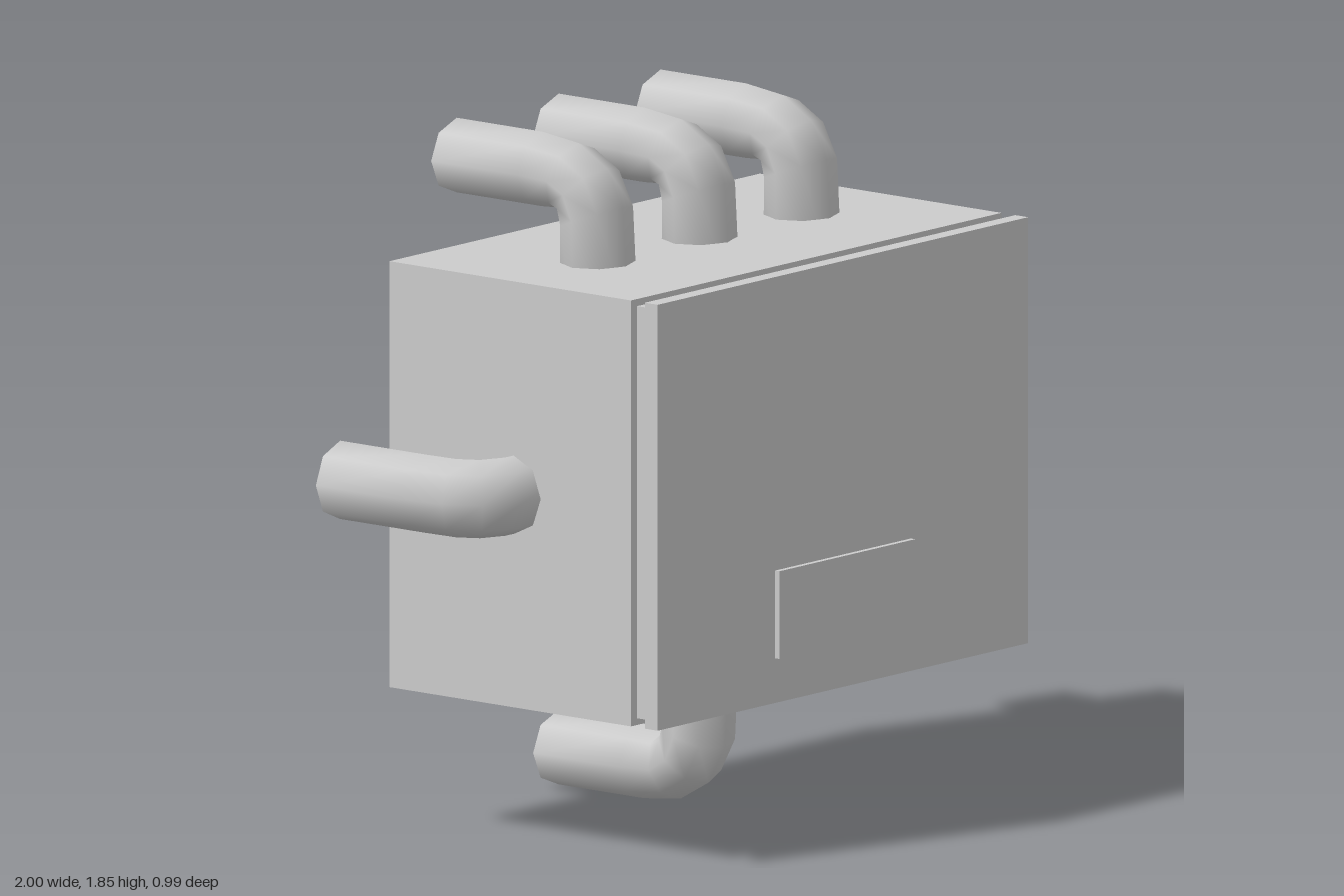
import * as THREE from 'three';

const SIDES = 8, PIPE_RADIUS = 0.105;

// Bend profile as [outer z, outer y, inner z, inner y]; y = 0 is the pipe's outermost point
const BEND = [
  [0.095, -0.46, -0.11, -0.46],
  [0.075, -0.17, -0.103, -0.235],
  [0.02, -0.07, -0.107, -0.2],
  [-0.075, -0.015, -0.125, -0.195],
  [-0.2, 0, -0.2, -0.2],
  [-0.492, 0, -0.492, -0.2],
];

// Pipe elbow: rises out of the box, then turns to the back
function pipeGeometry() {
  const pos = [], idx = [];
  for (const [oz, oy, iz, iy] of BEND) {
    for (let j = 0; j < SIDES; j++) {
      const a = (j / SIDES) * Math.PI * 2, t = (1 + Math.cos(a)) / 2;
      pos.push(PIPE_RADIUS * Math.sin(a), iy + (oy - iy) * t, iz + (oz - iz) * t);
    }
  }
  const last = BEND.length - 1;
  for (let i = 0; i < last; i++) {
    for (let j = 0; j < SIDES; j++) {
      const k = (j + 1) % SIDES, a = i * SIDES, b = a + SIDES;
      idx.push(a + j, a + k, b + j, a + k, b + k, b + j);
    }
  }
  // End caps share the rim, so they shade softly
  for (const [ring, flip] of [[0, true], [last, false]]) {
    const [oz, oy, iz, iy] = BEND[ring], c = pos.length / 3;
    pos.push(0, (oy + iy) / 2, (oz + iz) / 2);
    for (let j = 0; j < SIDES; j++) {
      const p = ring * SIDES + j, q = ring * SIDES + (j + 1) % SIDES;
      idx.push(c, flip ? q : p, flip ? p : q);
    }
  }
  const g = new THREE.BufferGeometry();
  g.setAttribute('position', new THREE.Float32BufferAttribute(pos, 3));
  g.setIndex(idx);
  g.computeVertexNormals();
  return g;
}

export function createModel() {
  const group = new THREE.Group();
  const material = new THREE.MeshStandardMaterial({ color: 0xcccccc });

  // Box from its half width, vertical range and depth range
  const addBox = (name, hw, y0, y1, z0, z1) => {
    const mesh = new THREE.Mesh(new THREE.BoxGeometry(hw * 2, y1 - y0, z1 - z0), material);
    mesh.position.set(0, (y0 + y1) / 2, (z0 + z1) / 2);
    mesh.name = name;
    group.add(mesh);
  };
  addBox('cabinet', 0.763, 0.385, 1.527, -0.437, 0.388);
  addBox('doorSeal', 0.738, 0.403, 1.508, 0.388, 0.435);
  addBox('door', 0.763, 0.385, 1.527, 0.435, 0.479);
  addBox('doorPlate', 0.28, 0.505, 0.74, 0.479, 0.494);

  // Pipes: three on top, one on each side, one below
  const pipe = pipeGeometry();
  const addPipe = (name, x, y, turn) => {
    const mesh = new THREE.Mesh(pipe, material);
    mesh.position.set(x, y, 0);
    mesh.rotation.z = turn;
    mesh.name = name;
    group.add(mesh);
  };
  [['topPipeRight', -0.42], ['topPipeMiddle', 0], ['topPipeLeft', 0.42]]
    .forEach(([name, x]) => addPipe(name, x, 1.852, 0));
  addPipe('leftPipe', 1, 0.955, -Math.PI / 2);
  addPipe('rightPipe', -1, 0.955, Math.PI / 2);
  addPipe('bottomPipe', 0, 0, Math.PI);
  return group;
}
